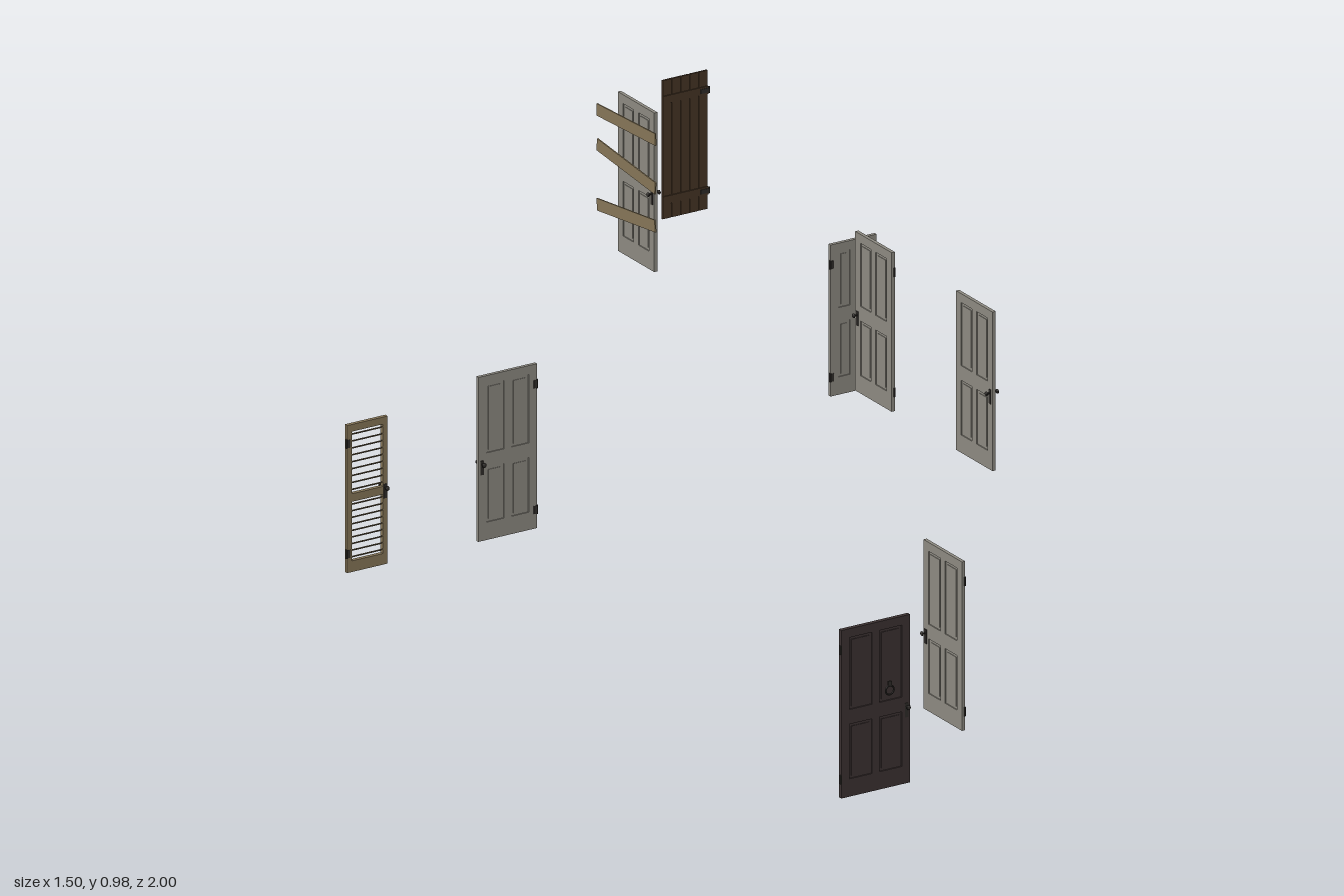
import * as THREE from 'three';

const mat = (color) => new THREE.MeshStandardMaterial({ color, flatShading: true });
const GREY = mat(0x8c8980), DARK = mat(0x3b3131), TAN = mat(0x857557);
const BROWN = mat(0x453424), METAL = mat(0x2f2c29), BRASS = mat(0x7d6c42);

function add(parent, name, geometry, material, x = 0, y = 0, z = 0) {
  const mesh = new THREE.Mesh(geometry, material);
  mesh.name = name;
  mesh.position.set(x, y, z);
  parent.add(mesh);
  return mesh;
}
const box = (w, h, d) => new THREE.BoxGeometry(w, h, d);

function rectangle(Type, x0, y0, x1, y1) {
  const r = new Type();
  r.moveTo(x0, y0);
  r.lineTo(x1, y0);
  r.lineTo(x1, y1);
  r.lineTo(x0, y1);
  r.closePath();
  return r;
}

// Flat frame with rectangular openings, centred on z = 0
function frameGeometry(w, h, t, openings) {
  const shape = rectangle(THREE.Shape, -w / 2, 0, w / 2, h);
  for (const o of openings) shape.holes.push(rectangle(THREE.Path, ...o));
  const g = new THREE.ExtrudeGeometry(shape, { depth: t, bevelEnabled: false });
  return g.translate(0, 0, -t / 2);
}

// Backplate, stem and knob on both faces
function addKnobs(door, x, y, t, material) {
  for (const s of [1, -1]) {
    add(door, 'knobPlate', box(0.008, 0.032, 0.002), METAL, x, y - 0.008, s * (t / 2 + 0.0005));
    const stem = add(door, 'knobStem', new THREE.CylinderGeometry(0.002, 0.002, 0.01, 8), material, x, y, s * (t / 2 + 0.005));
    stem.rotation.x = Math.PI / 2;
    const knob = add(door, 'knob', new THREE.SphereGeometry(0.0052, 10, 8), material, x, y, s * 0.0135);
    knob.scale.z = 0.6;
  }
}

function addHinges(door, x, heights) {
  for (const y of heights) {
    add(door, 'hingeBarrel', new THREE.CylinderGeometry(0.0025, 0.0025, 0.02, 8), METAL, x, y, 0.003);
    add(door, 'hingeLeaf', box(0.008, 0.018, 0.001), METAL, x - Math.sign(x) * 0.004, y, 0.0045);
  }
}

// Four-panel door; side is the x direction of the knob
function panelDoor({ name, w, h, t = 0.008, side, material = GREY, knob = METAL }) {
  const door = new THREE.Group();
  door.name = name;
  const stile = 0.02, mull = 0.009, edge = w / 2 - stile;
  const rows = [[0.04, 0.163], [0.196, h - 0.02]];
  const openings = [];
  for (const [y0, y1] of rows) openings.push([-edge, y0, -mull, y1], [mull, y0, edge, y1]);
  add(door, 'doorFrame', frameGeometry(w, h, t, openings), material);
  for (const [x0, y0, x1, y1] of openings) {
    const x = (x0 + x1) / 2, y = (y0 + y1) / 2;
    add(door, 'recessedPanel', box(x1 - x0, y1 - y0, t * 0.4), material, x, y);
    add(door, 'raisedField', box(x1 - x0 - 0.012, y1 - y0 - 0.012, t * 0.7), material, x, y);
  }
  addKnobs(door, side * (w / 2 - 0.009), 0.173, t, knob);
  addHinges(door, -side * w / 2, [0.042, h - 0.045]);
  return door;
}

// Louvred door with slats that drop towards the back
function louvreDoor() {
  const door = new THREE.Group();
  door.name = 'louvreDoor';
  const w = 0.1, h = 0.332, edge = 0.038;
  const rows = [[0.025, 0.158], [0.176, 0.316]];
  add(door, 'louvreFrame', frameGeometry(w, h, 0.009, rows.map(([a, b]) => [-edge, a, edge, b])), TAN);
  const count = 9;
  for (const [y0, y1] of rows) {
    for (let i = 0; i < count; i++) {
      const y = y0 + (y1 - y0) * (i + 0.5) / count;
      add(door, 'slat', box(edge * 2, 0.0015, 0.012), TAN, 0, y, 0).rotation.x = -0.6;
    }
  }
  addKnobs(door, 0.044, 0.173, 0.009, METAL);
  addHinges(door, -w / 2, [0.042, h - 0.042]);
  return door;
}

// Vertical boards with battens and strap hinges
function plankDoor() {
  const door = new THREE.Group();
  door.name = 'plankDoor';
  const w = 0.112, h = 0.312, count = 5, step = w / count;
  add(door, 'boardBacking', box(w - 0.002, h - 0.002, 0.002), BROWN, 0, h / 2);
  for (let i = 0; i < count; i++) {
    add(door, 'board', box(step - 0.0015, h, 0.0045), BROWN, (i + 0.5 - count / 2) * step, h / 2);
  }
  for (const y of [0.042, 0.268]) {
    add(door, 'batten', box(w, 0.018, 0.003), BROWN, 0, y, 0.003);
    add(door, 'strapHinge', box(0.022, 0.01, 0.0015), METAL, w / 2 - 0.008, y, 0.005);
    add(door, 'hingeBarrel', new THREE.CylinderGeometry(0.0025, 0.0025, 0.014, 8), METAL, w / 2 + 0.002, y, 0.003);
  }
  return door;
}

export function createModel() {
  const model = new THREE.Group();
  model.name = 'doorSet';
  const place = (door, x, y, z, turn = 0) => {
    door.position.set(x, y, z);
    door.rotation.y = turn;
    model.add(door);
  };

  // Lower doors facing the front
  place(louvreDoor(), -0.7, 0, -0.692);
  place(panelDoor({ name: 'entranceDoor', w: 0.17, h: 0.378, t: 0.01, side: 1, material: DARK }), -0.476, 0.005, 0.935);
  place(panelDoor({ name: 'wideGreyDoor', w: 0.145, h: 0.37, side: -1 }), -0.353, 0, -0.692);
  place(panelDoor({ name: 'narrowGreyDoor', w: 0.114, h: 0.341, side: 1, knob: BRASS }), 0.688, 0, -0.984);

  // Knocker in front of the entrance door
  add(model, 'knockerRing', new THREE.TorusGeometry(0.01, 0.002, 8, 20), METAL, -0.478, 0.251, 0.998);
  add(model, 'knockerMount', box(0.008, 0.009, 0.004), METAL, -0.478, 0.267, 0.998);

  // Doors turned to face the side
  const turn = Math.PI / 2;
  place(panelDoor({ name: 'lowerSideDoor', w: 0.15, h: 0.38, side: 1 }), -0.135, 0, 0.67, turn);
  const upper = [['upperFrontDoor', 0.793, -1], ['upperMiddleDoor', 0.4, 1], ['boardedDoor', -0.525, -1]];
  for (const [name, z, side] of upper) {
    place(panelDoor({ name, w: 0.142, h: 0.358, side }), -0.135, 0.625, z, turn);
  }

  // Three slanted boards behind the boarded door
  const boards = [[0.939, -0.04], [0.845, 0.1], [0.735, -0.12]];
  for (const [y, tilt] of boards) {
    const board = add(model, 'barricadeBoard', box(0.003, 0.027, 0.228), TAN, -0.164, y, -0.523);
    board.rotation.x = -tilt;
    if (tilt > 0) board.rotation.x = tilt;
    else board.rotation.x = tilt;
    // Positive tilt raises the rear end
  }

  place(plankDoor(), 0.092, 0.623, -0.7);
  return model;
}
